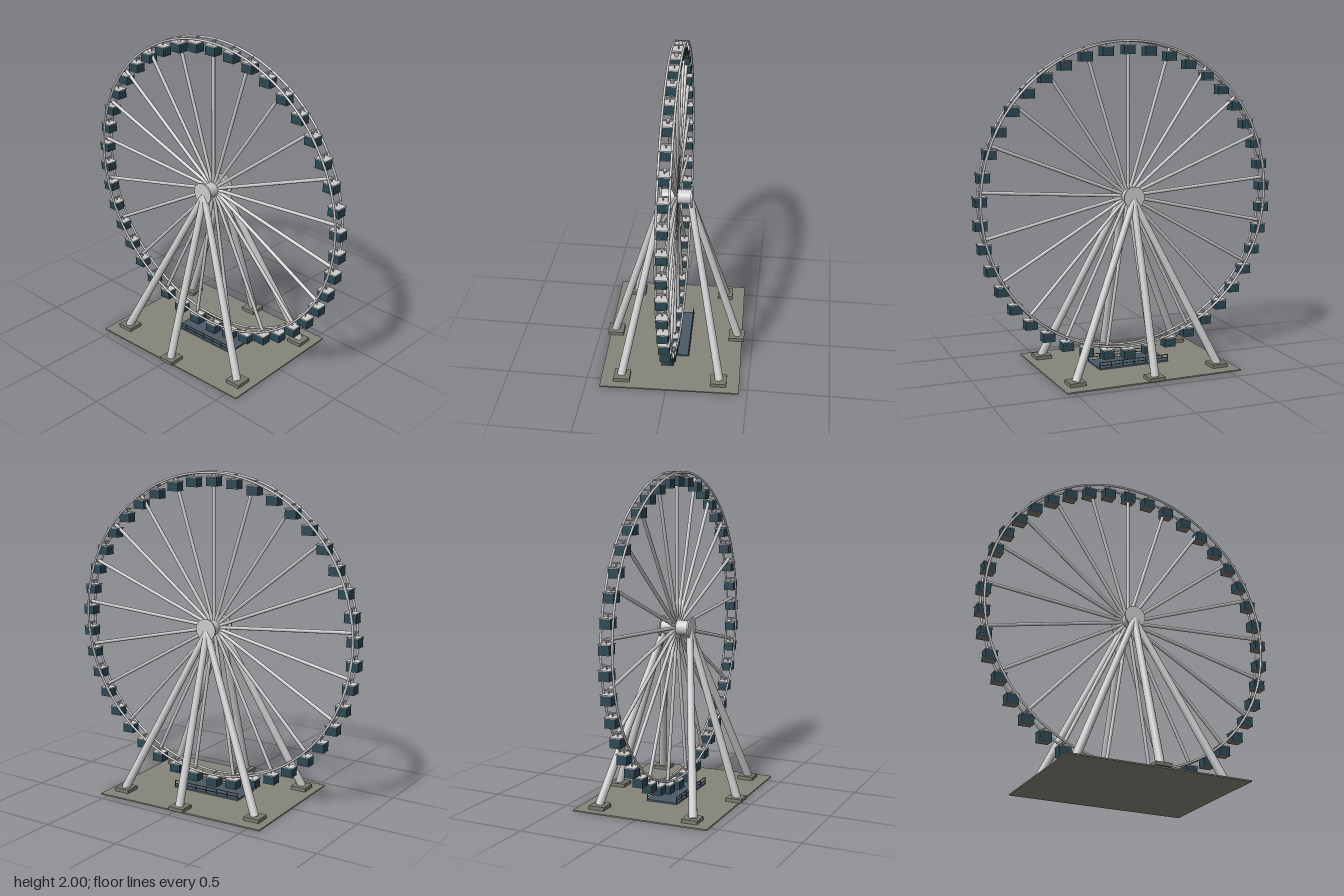
import * as THREE from 'three';

const mat = (color) => new THREE.MeshStandardMaterial({ color });
const V = (x, y, z) => new THREE.Vector3(x, y, z);

export function createModel() {
  const model = new THREE.Group();
  model.name = 'ferrisWheel';
  const metal = mat(0xcccccc);
  const teal = mat(0x2b4853);
  const slate = mat(0x4a5a66);
  const stone = mat(0x86857a);
  const footing = mat(0x7a796f);

  const HUB_Y = 1.055, RIM_R = 0.938, RIM_X = 0.034, CABINS = 42, SPOKES = 21;

  const add = (parent, name, geometry, material, x = 0, y = 0, z = 0) => {
    const mesh = new THREE.Mesh(geometry, material);
    mesh.name = name;
    mesh.position.set(x, y, z);
    parent.add(mesh);
    return mesh;
  };
  const box = (parent, name, w, h, d, material, x, y, z) =>
    add(parent, name, new THREE.BoxGeometry(w, h, d), material, x, y, z);
  // tapered round bar between two points
  const bar = (parent, name, a, b, ra, rb, material, sides = 8) => {
    const dir = b.clone().sub(a);
    const mesh = add(parent, name, new THREE.CylinderGeometry(rb, ra, dir.length(), sides), material);
    mesh.position.copy(a).add(b).multiplyScalar(0.5);
    mesh.quaternion.setFromUnitVectors(V(0, 1, 0), dir.normalize());
    return mesh;
  };
  // round part lying along x
  const drum = (parent, name, r, length, x, material) => {
    const mesh = add(parent, name, new THREE.CylinderGeometry(r, r, length, 32), material, x);
    mesh.rotation.z = Math.PI / 2;
    return mesh;
  };

  // ground slab
  box(model, 'base', 0.86, 0.008, 1.13, stone, 0, 0.004, 0);

  // six support legs on footings
  for (const side of [-1, 1]) {
    for (const [x, z] of [[0.395, 0], [0.3, 0.465], [0.3, -0.465]]) {
      box(model, 'footing', 0.1, 0.022, 0.1, footing, side * x, 0.019, z);
      bar(model, 'supportLeg', V(side * (x + 0.005), 0.025, z), V(side * 0.085, 1.04, 0),
        0.026, 0.02, metal, 12);
    }
  }

  // boarding platform with railings
  const platform = new THREE.Group();
  platform.name = 'boardingPlatform';
  model.add(platform);
  box(platform, 'deck', 0.2, 0.01, 0.46, slate, 0, 0.013, 0);
  for (const side of [-1, 1]) {
    for (const y of [0.033, 0.052])
      box(platform, 'rail', 0.004, 0.004, 0.46, slate, side * 0.096, y, 0);
    for (let i = 0; i < 7; i++)
      box(platform, 'railPost', 0.005, 0.036, 0.005, slate, side * 0.096, 0.036, -0.228 + i * 0.076);
  }

  // wheel
  const wheel = new THREE.Group();
  wheel.name = 'wheel';
  wheel.position.y = HUB_Y;
  model.add(wheel);

  drum(wheel, 'hubAxle', 0.045, 0.19, 0, metal);
  for (const side of [-1, 1]) {
    drum(wheel, 'hubCap', 0.067, 0.01, side * 0.095, metal);
    const rim = add(wheel, 'rim', new THREE.TorusGeometry(RIM_R, 0.007, 8, 126), metal, side * RIM_X);
    rim.rotation.y = Math.PI / 2;
  }

  for (let i = 0; i < SPOKES; i++) {
    const a = (i / SPOKES) * Math.PI * 2;
    const dir = V(0, Math.cos(a), Math.sin(a));
    bar(wheel, 'spoke', dir.clone().multiplyScalar(0.03), dir.clone().multiplyScalar(RIM_R),
      0.011, 0.011, metal);
  }

  // cabins stay upright, hanging from crossbars between the rims
  for (let i = 0; i < CABINS; i++) {
    const a = (i / CABINS) * Math.PI * 2;
    const cabin = new THREE.Group();
    cabin.name = 'cabin';
    cabin.position.set(0, Math.cos(a) * RIM_R, Math.sin(a) * RIM_R);
    wheel.add(cabin);
    bar(cabin, 'crossbar', V(-RIM_X, 0, 0), V(RIM_X, 0, 0), 0.005, 0.005, metal, 6);
    bar(cabin, 'hanger', V(0, -0.024, 0), V(0, 0, 0), 0.004, 0.004, metal, 6);
    box(cabin, 'roof', 0.07, 0.005, 0.08, metal, 0, -0.0235, 0);
    box(cabin, 'cabinBody', 0.064, 0.052, 0.073, teal, 0, -0.052, 0);
    box(cabin, 'floor', 0.067, 0.004, 0.077, footing, 0, -0.079, 0);
  }

  // the whole ride stands slightly turned
  model.rotation.y = THREE.MathUtils.degToRad(2);
  const root = new THREE.Group();
  root.name = 'model';
  root.add(model);
  return root;
}
